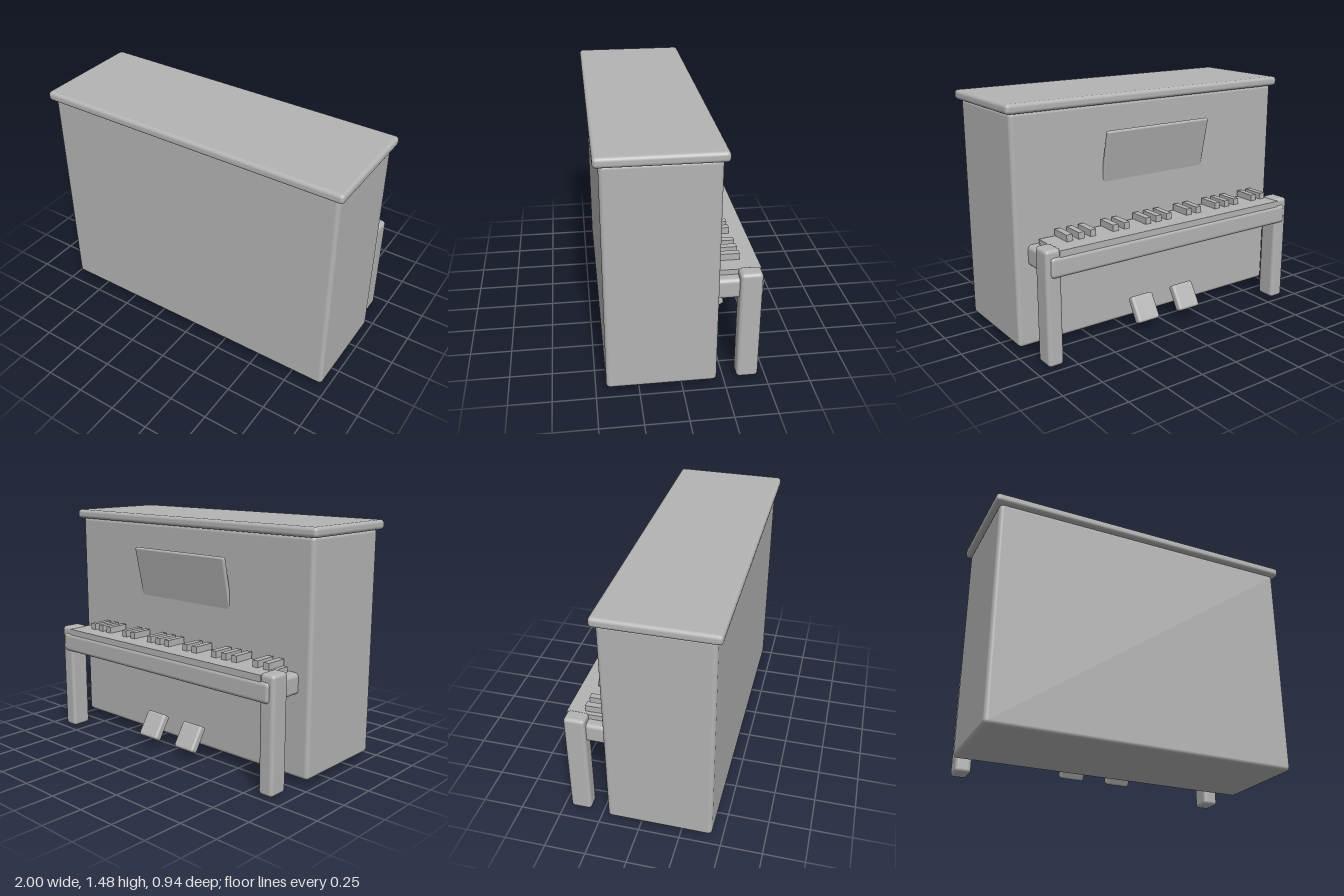
import * as THREE from 'three';
import { RoundedBoxGeometry } from 'three/addons/geometries/RoundedBoxGeometry.js';

export function createModel() {
  const model = new THREE.Group();
  model.name = 'uprightPiano';
  const grey = new THREE.MeshStandardMaterial({ color: 0xb4b4b4 });
  grey.name = 'plain grey';

  // Box from min/max ranges; a radius rounds its edges
  function box(name, [x0, x1], [y0, y1], [z0, z1], radius = 0) {
    const size = [x1 - x0, y1 - y0, z1 - z0];
    const geometry = radius
      ? new RoundedBoxGeometry(...size, 3, radius)
      : new THREE.BoxGeometry(...size);
    const mesh = new THREE.Mesh(geometry, grey);
    mesh.name = name;
    mesh.position.set((x0 + x1) / 2, (y0 + y1) / 2, (z0 + z1) / 2);
    model.add(mesh);
    return mesh;
  }

  // Cabinet and lid
  box('cabinet', [-0.97, 0.97], [0.035, 1.425], [-0.2, 0.44], 0.025);
  box('lid', [-1, 1], [1.418, 1.477], [-0.228, 0.47], 0.022);

  // Keyboard shelf and the slab of white keys
  box('keyboardShelf', [-0.89, 0.89], [0.535, 0.66], [-0.47, -0.17], 0.025);
  box('whiteKeys', [-0.83, 0.83], [0.65, 0.692], [-0.462, -0.222]);

  // Black keys in alternating groups of two and three
  const blackKeys = new THREE.Group();
  blackKeys.name = 'blackKeys';
  model.add(blackKeys);
  for (let octave = 0; octave < 3; octave++) {
    for (const step of [0, 1, 3, 4, 5]) {
      const x = -0.784 + (octave * 7 + step) * 0.0784;
      blackKeys.add(box('blackKey', [x - 0.0195, x + 0.0195], [0.685, 0.732], [-0.357, -0.22]));
    }
  }

  // Legs and pedals, mirrored
  for (const side of [-1, 1]) {
    const x = side * 0.867;
    box('leg', [x - 0.049, x + 0.049], [0, 0.702], [-0.457, -0.328], 0.022);
    const p = side * 0.16;
    const pedal = box('pedal', [p - 0.08, p + 0.08], [0.045, 0.215], [-0.347, -0.293], 0.016);
    pedal.rotation.x = 0.55;
  }

  // Tilted music stand, its foot sunk in the cabinet
  const stand = box('musicStand', [-0.377, 0.377], [0.93, 1.27], [-0.2305, -0.2025], 0.01);
  stand.rotation.x = -0.207;

  return model;
}
